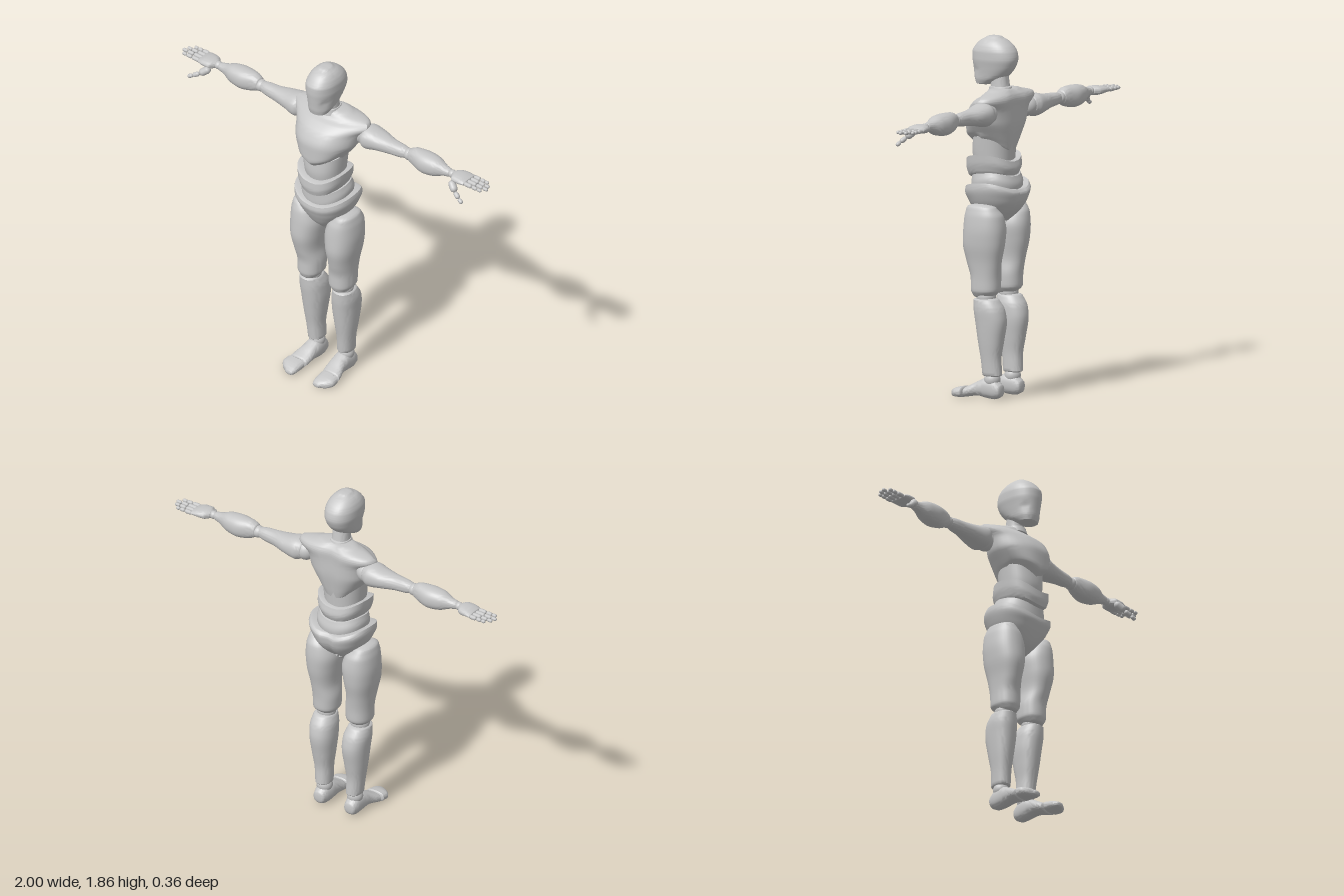
import * as THREE from 'three';
import { toCreasedNormals } from 'three/addons/utils/BufferGeometryUtils.js';

const SIDES = 36, STEPS = 5;
const clamp = THREE.MathUtils.clamp;

// Section of a part that is symmetric about x = 0: [y, back z, front z, half width, squareness, front taper]
const sym = ([y, z0, z1, w, n = 2.3, taper = 0]) => [y, z0, z1, -w, w, n, taper];

// Monotone cubic refinement of a list of sections
function refine(secs) {
  const rows = secs.map(s => [s[0], s[1], s[2], s[3], s[4], s[5] ?? 2.3, s[6] ?? 0]);
  const d = (i, k) => (rows[i + 1][k] - rows[i][k]) / (rows[i + 1][0] - rows[i][0]);
  const last = rows.length - 1;
  const slope = (i, k) => {
    if (i === 0) return d(0, k);
    if (i === last) return d(last - 1, k);
    const p = d(i - 1, k), q = d(i, k);
    return p * q <= 0 ? 0 : 2 * p * q / (p + q);
  };
  const out = [];
  for (let i = 0; i < last; i++) {
    const h = rows[i + 1][0] - rows[i][0];
    for (let s = 0; s < STEPS; s++) {
      const t = s / STEPS, t2 = t * t, t3 = t2 * t;
      out.push(rows[i].map((v, k) => k === 0 ? v + h * t :
        (2 * t3 - 3 * t2 + 1) * v + (t3 - 2 * t2 + t) * h * slope(i, k) +
        (3 * t2 - 2 * t3) * rows[i + 1][k] + (t3 - t2) * h * slope(i + 1, k)));
    }
  }
  out.push(rows[last]);
  return out;
}

// Closed loft along an axis. Sections: [t, a0, a1, b0, b1, squareness, taper], t ascending.
// (a, b) are (z, x) along y, (y, z) along x and (x, y) along z. Ends are domed by cap.
function loft(axis, secs, { cap = [0.012, 0.012], warp } = {}) {
  const rows = refine(secs), rings = [];
  const dome = (r, t, s) => {
    const am = (r[1] + r[2]) / 2, bm = (r[3] + r[4]) / 2;
    return [t, am + (r[1] - am) * s, am + (r[2] - am) * s, bm + (r[3] - bm) * s, bm + (r[4] - bm) * s, r[5], r[6]];
  };
  const angles = [90, 68, 45, 22].map(v => v * Math.PI / 180);
  const end = rows[rows.length - 1];
  angles.forEach(p => rings.push(dome(rows[0], rows[0][0] - cap[0] * Math.sin(p), p > 1.5 ? 0.001 : Math.cos(p))));
  rings.push(...rows);
  angles.slice().reverse().forEach(p => rings.push(dome(end, end[0] + cap[1] * Math.sin(p), p > 1.5 ? 0.001 : Math.cos(p))));
  const pos = [], idx = [], v = new THREE.Vector3();
  for (const [t, a0, a1, b0, b1, n, taper] of rings) {
    for (let j = 0; j < SIDES; j++) {
      const u = j / SIDES * Math.PI * 2, c = Math.cos(u), s = Math.sin(u);
      const ca = Math.sign(c) * Math.abs(c) ** (2 / n), sb = Math.sign(s) * Math.abs(s) ** (2 / n);
      const a = (a0 + a1) / 2 + (a1 - a0) / 2 * ca;
      const b = (b0 + b1) / 2 + (b1 - b0) / 2 * sb * (1 - taper * Math.max(0, ca));
      if (axis === 'y') v.set(b, t, a); else if (axis === 'x') v.set(t, a, b); else v.set(a, b, t);
      if (warp) warp(v);
      pos.push(v.x, v.y, v.z);
    }
  }
  for (let i = 0; i < rings.length - 1; i++) for (let j = 0; j < SIDES; j++) {
    const k = (j + 1) % SIDES, p = i * SIDES, q = p + SIDES;
    idx.push(p + j, p + k, q + k, p + j, q + k, q + j);
  }
  const g = new THREE.BufferGeometry();
  g.setAttribute('position', new THREE.Float32BufferAttribute(pos, 3));
  g.setIndex(idx);
  return toCreasedNormals(g, 0.6);
}

// Capsule between two points
function bone(p, q, r) {
  const a = new THREE.Vector3(...p), b = new THREE.Vector3(...q), dir = b.clone().sub(a);
  const g = new THREE.CapsuleGeometry(r, Math.max(0.001, dir.length() - 2 * r), 4, 12);
  const turn = new THREE.Quaternion().setFromUnitVectors(new THREE.Vector3(0, 1, 0), dir.normalize());
  return g.applyQuaternion(turn).translate((a.x + b.x) / 2, (a.y + b.y) / 2, (a.z + b.z) / 2);
}

const ball = (r, x, y, z) => new THREE.SphereGeometry(r, 24, 16).translate(x, y, z);

// Mirror a geometry in x and restore its winding
function mirror(geo) {
  const g = geo.index ? geo.toNonIndexed() : geo.clone();
  g.applyMatrix4(new THREE.Matrix4().makeScale(-1, 1, 1));
  const n = g.attributes.position.count, idx = [];
  for (let i = 0; i < n; i += 3) idx.push(i + 2, i + 1, i);
  g.setIndex(idx);
  return g;
}

export function createModel() {
  const model = new THREE.Group();
  model.name = 'jointedMannequin';
  const grey = new THREE.MeshStandardMaterial({ color: 0xc6c6c6 });
  grey.name = 'lightGrey';
  const add = (name, geo) => {
    const m = new THREE.Mesh(geo, grey);
    m.name = name;
    model.add(m);
  };
  const pair = (name, geo) => { add(name + 'Left', geo); add(name + 'Right', mirror(geo)); };
  const groove = (v, depth) => { if (v.z < -0.07) v.z += depth * Math.exp(-((v.x / 0.025) ** 2)); };

  // Head with flat cheek planes
  add('head', loft('y', [
    [1.607, 0.0, 0.092, 0.05], [1.635, -0.06, 0.1, 0.063], [1.66, -0.095, 0.103, 0.068], [1.70, -0.125, 0.108, 0.076],
    [1.74, -0.137, 0.112, 0.083], [1.77, -0.132, 0.112, 0.083], [1.80, -0.115, 0.095, 0.076],
    [1.83, -0.08, 0.065, 0.057], [1.846, -0.05, 0.035, 0.036]].map(sym), {
    cap: [0.006, 0.009],
    warp: v => {
      const lim = 0.028 + Math.max(0, 0.11 - v.z) * 0.6 + Math.max(0, v.y - 1.68) * 0.35;
      v.x = clamp(v.x, -lim, lim);
    } }));

  // Neck and collar
  add('neck', loft('y', [[1.55, -0.1, 0.01, 0.052], [1.6, -0.09, 0.005, 0.046], [1.67, -0.08, 0.015, 0.044]].map(sym)));
  add('neckCollar', loft('y', [[1.565, -0.112, 0.02, 0.058], [1.595, -0.1, 0.012, 0.05]].map(sym), { cap: [0.006, 0.006] }));

  // Chest shell, raised at the flanks
  add('chest', loft('y', [
    [1.285, -0.12, 0.09, 0.09, 2.5], [1.33, -0.13, 0.13, 0.13, 2.6, 0.1], [1.42, -0.145, 0.13, 0.175, 2.6, 0.25],
    [1.49, -0.147, 0.1, 0.193, 2.7, 0.3], [1.535, -0.15, 0.05, 0.232, 2.8, 0.4], [1.555, -0.145, 0.015, 0.22, 2.6, 0.4],
    [1.58, -0.125, 0.0, 0.12, 2.3, 0.2]].map(sym), {
    warp: v => {
      const low = clamp((1.42 - v.y) / 0.13, 0, 1);
      v.y += low * (Math.abs(v.x) * 0.45 - (v.z < 0 ? 0.02 : 0));
      groove(v, 0.014);
    } }));

  // Waist: core and two overlapping bands
  const rise = k => v => { v.y += k * v.x * v.x; };
  add('upperWaist', loft('y', [[1.18, -0.105, 0.09, 0.1], [1.25, -0.11, 0.1, 0.108], [1.32, -0.115, 0.095, 0.115]].map(sym),
    { warp: rise(2) }));
  add('abdomenBand', loft('y', [
    [1.125, -0.125, 0.118, 0.118, 2.5], [1.16, -0.138, 0.127, 0.132, 2.5], [1.2, -0.13, 0.125, 0.137, 2.5]].map(sym),
    { warp: v => { v.y += 2.8 * v.x * v.x + (v.z < 0 ? -0.12 * v.z : 0); } }));
  add('lowerWaist', loft('y', [[1.02, -0.14, 0.09, 0.125], [1.07, -0.148, 0.1, 0.133], [1.12, -0.135, 0.1, 0.122]].map(sym),
    { warp: v => { v.y += 2.5 * v.x * v.x + (v.z < 0 ? -0.15 * v.z : 0); } }));

  // Pelvis, tapering to the crotch
  add('pelvis', loft('y', [
    [0.885, -0.06, 0.03, 0.035], [0.92, -0.11, 0.065, 0.072], [0.96, -0.15, 0.09, 0.112], [1.0, -0.172, 0.11, 0.152],
    [1.035, -0.178, 0.122, 0.171, 2.5], [1.055, -0.165, 0.12, 0.168, 2.5]].map(sym), {
    warp: v => {
      v.y += 2 * v.x * v.x * clamp((v.y - 0.95) / 0.1, 0, 1) + (v.z < 0 ? -0.1 * v.z : 0);
      groove(v, 0.015);
    } }));

  // Legs
  pair('thigh', loft('y', [
    [0.53, -0.07, 0.045, 0.055, 0.15], [0.56, -0.097, 0.055, 0.036, 0.168], [0.62, -0.1, 0.056, 0.034, 0.17],
    [0.7, -0.11, 0.075, 0.044, 0.178], [0.8, -0.13, 0.095, 0.032, 0.196], [0.87, -0.135, 0.091, 0.025, 0.201],
    [0.94, -0.127, 0.082, 0.045, 0.196], [0.985, -0.1, 0.065, 0.085, 0.185]], { cap: [0.012, 0.02] }));
  pair('knee', ball(0.05, 0.105, 0.525, -0.025));
  pair('shin', loft('y', [
    [0.125, -0.108, -0.004, 0.055, 0.136], [0.2, -0.105, 0.002, 0.055, 0.143], [0.3, -0.12, 0.017, 0.045, 0.156],
    [0.4, -0.135, 0.031, 0.036, 0.166], [0.46, -0.125, 0.038, 0.038, 0.17], [0.51, -0.095, 0.04, 0.052, 0.163]]));
  pair('ankle', ball(0.042, 0.095, 0.1, -0.055));
  pair('foot', loft('z', [
    [-0.105, 0.063, 0.128, 0.012, 0.08], [-0.075, 0.055, 0.135, 0, 0.105], [-0.03, 0.05, 0.137, 0.003, 0.11],
    [0.02, 0.05, 0.142, 0.012, 0.09], [0.06, 0.05, 0.155, 0.008, 0.068], [0.083, 0.054, 0.16, 0.003, 0.057]],
    { cap: [0.01, 0.008] }));
  pair('toes', loft('z', [
    [0.1, 0.056, 0.164, 0.001, 0.057, 2.6], [0.13, 0.058, 0.166, 0, 0.052, 2.6],
    [0.16, 0.06, 0.145, 0, 0.042, 2.6], [0.178, 0.066, 0.115, 0.004, 0.032, 2.6]], { cap: [0.008, 0.01] }));

  // Arms, held straight out
  pair('shoulder', ball(0.055, 0.19, 1.478, -0.083));
  pair('upperArm', loft('x', [
    [0.195, 1.43, 1.53, -0.14, -0.03], [0.23, 1.417, 1.538, -0.153, -0.012], [0.3, 1.43, 1.525, -0.145, -0.025],
    [0.38, 1.44, 1.515, -0.122, -0.04], [0.44, 1.445, 1.512, -0.115, -0.048], [0.47, 1.452, 1.507, -0.11, -0.055]]));
  pair('elbow', ball(0.032, 0.487, 1.478, -0.084));
  pair('forearm', loft('x', [
    [0.5, 1.445, 1.518, -0.118, -0.052], [0.53, 1.43, 1.53, -0.128, -0.045], [0.6, 1.418, 1.532, -0.143, -0.03],
    [0.66, 1.426, 1.527, -0.135, -0.036], [0.72, 1.45, 1.506, -0.112, -0.058], [0.75, 1.458, 1.5, -0.106, -0.062]]));
  pair('wrist', ball(0.022, 0.767, 1.479, -0.085));

  // Hands: palm, four jointed fingers and a thumb
  pair('palm', loft('x', [
    [0.78, 1.46, 1.498, -0.115, -0.06], [0.8, 1.455, 1.503, -0.135, -0.035], [0.84, 1.46, 1.5, -0.143, -0.035],
    [0.87, 1.465, 1.491, -0.145, -0.042]], { cap: [0.008, 0.006] }));
  [[-0.135, 0.965], [-0.109, 0.99], [-0.083, 1.0], [-0.056, 0.98]].forEach(([z, tip], f) => {
    const start = 0.868, len = tip - start, cuts = [0, 0.44, 0.75, 1];
    for (let i = 0; i < 3; i++) pair(`finger${f + 1}Joint${i + 1}`, bone(
      [start + len * cuts[i], 1.478, z], [start + len * cuts[i + 1], 1.478, z], 0.0115 - i * 0.0012));
  });
  const thumb = [[0.79, 1.468, -0.045], [0.838, 1.432, -0.018], [0.872, 1.412, -0.006], [0.9, 1.397, 0.0]];
  [0.02, 0.013, 0.011].forEach((r, i) => pair(`thumbJoint${i + 1}`, bone(thumb[i], thumb[i + 1], r)));

  return model;
}
